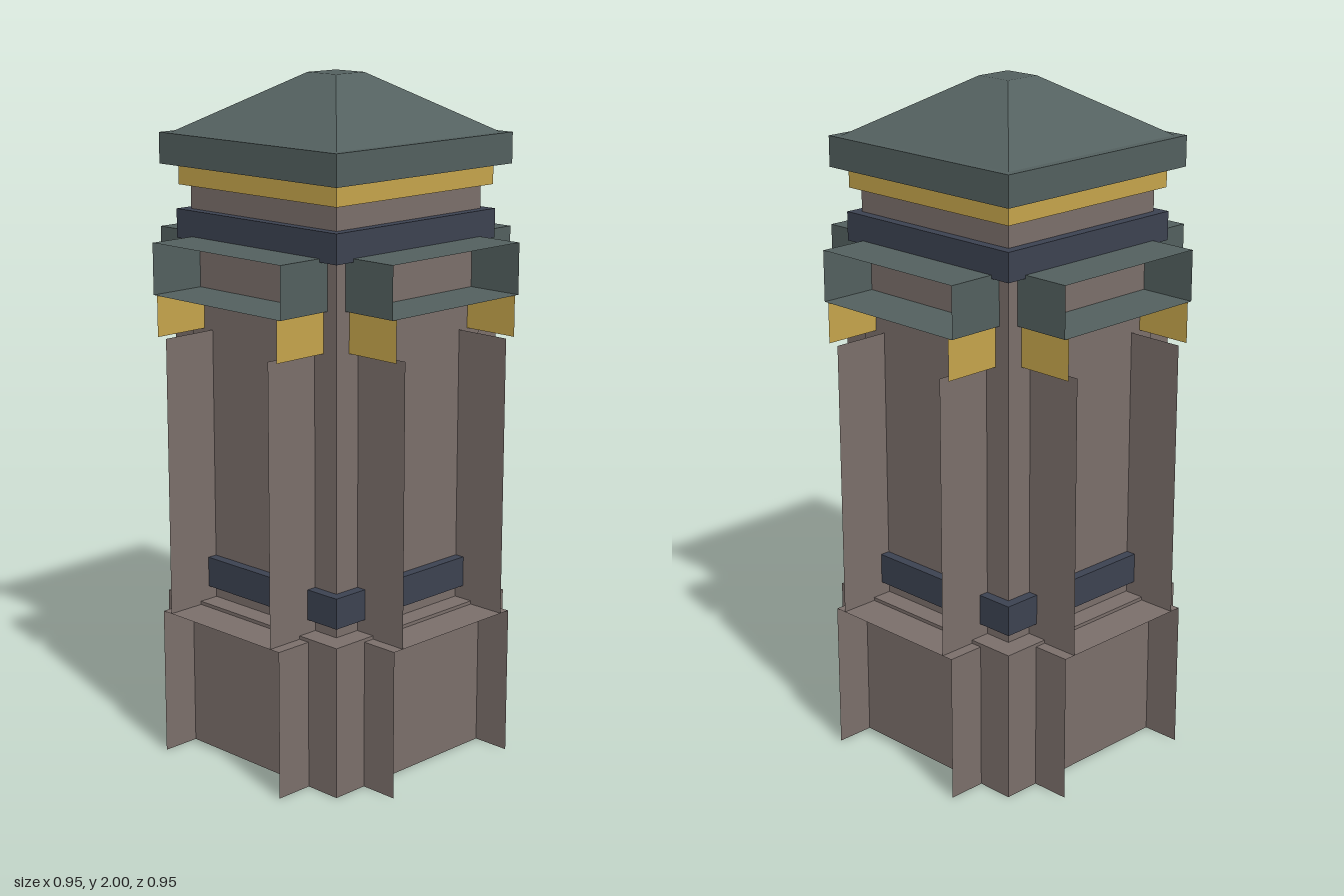
import * as THREE from 'three';

function material(name, color) {
  const m = new THREE.MeshStandardMaterial({ color, flatShading: true, side: THREE.DoubleSide });
  m.name = name;
  return m;
}

export function createModel() {
  const stone = material('stone', 0x7b6f6b);
  const slate = material('slate', 0x53605f);
  const gold = material('gold', 0xc6a54c);
  const navy = material('navy', 0x3c4251);

  const model = new THREE.Group();
  model.name = 'tower';

  const add = (parent, name, geometry, mat) => {
    const mesh = new THREE.Mesh(geometry, mat);
    mesh.name = name;
    parent.add(mesh);
    return mesh;
  };

  // Square block given by half width, bottom and top
  const block = (name, half, y0, y1, mat) => {
    const g = new THREE.BoxGeometry(half * 2, y1 - y0, half * 2);
    g.translate(0, (y0 + y1) / 2, 0);
    return add(model, name, g, mat);
  };

  // Four-sided frustum, optionally without its ends
  const frustum = (name, top, bottom, y0, y1, mat, open) => {
    const g = new THREE.CylinderGeometry(top * Math.SQRT2, bottom * Math.SQRT2, y1 - y0, 4, 1, open);
    g.rotateY(Math.PI / 4);
    g.translate(0, (y0 + y1) / 2, 0);
    return add(model, name, g, mat);
  };

  // Flat horizontal sheet
  const sheet = (parent, name, w, d, y, z, mat) => {
    const g = new THREE.PlaneGeometry(w, d);
    g.rotateX(-Math.PI / 2);
    g.translate(0, y, z);
    return add(parent, name, g, mat);
  };

  // Hollow plinth, open underneath
  frustum('plinthWalls', 0.357, 0.357, 0, 0.45, stone, true);
  sheet(model, 'plinthTop', 0.714, 0.714, 0.45, 0, stone);

  // Central shaft, bands and cap
  block('shaft', 0.295, 0.45, 1.7, stone);
  block('lowerBand', 0.325, 0.49, 0.58, navy);
  block('upperBand', 0.325, 1.525, 1.61, navy);
  block('goldTrim', 0.32, 1.68, 1.745, gold);
  block('capSlab', 0.358, 1.74, 1.83, slate);
  frustum('roof', 0.057, 0.333, 1.83, 2, slate, false);

  // Open-ended bay on each side: pairs of thin walls with sheets between
  const outer = 0.473;
  const bayWalls = (bay, name, half, inner, y0, y1, mat) => {
    for (const s of [-1, 1]) {
      const g = new THREE.PlaneGeometry(outer - inner, y1 - y0);
      g.rotateY(s * Math.PI / 2);
      g.translate(s * half, (y0 + y1) / 2, (outer + inner) / 2);
      add(bay, name, g, mat);
    }
  };
  const baySheet = (bay, name, half, inner, y, mat) =>
    sheet(bay, name, half * 2, outer - inner, y, (outer + inner) / 2, mat);

  for (let i = 0; i < 4; i++) {
    const bay = new THREE.Group();
    bay.name = 'sideBay';
    bay.rotation.y = i * Math.PI / 2;
    bayWalls(bay, 'footWall', 0.245, 0.357, 0, 0.44, stone);
    baySheet(bay, 'footTop', 0.245, 0.295, 0.44, stone);
    bayWalls(bay, 'fin', 0.21, 0.295, 0.44, 1.265, stone);
    bayWalls(bay, 'goldCollar', 0.245, 0.295, 1.265, 1.385, gold);
    bayWalls(bay, 'hoodWall', 0.26, 0.295, 1.385, 1.535, slate);
    baySheet(bay, 'hoodFloor', 0.26, 0.295, 1.385, slate);
    baySheet(bay, 'hoodTop', 0.26, 0.295, 1.535, slate);
    model.add(bay);
  }

  return model;
}
